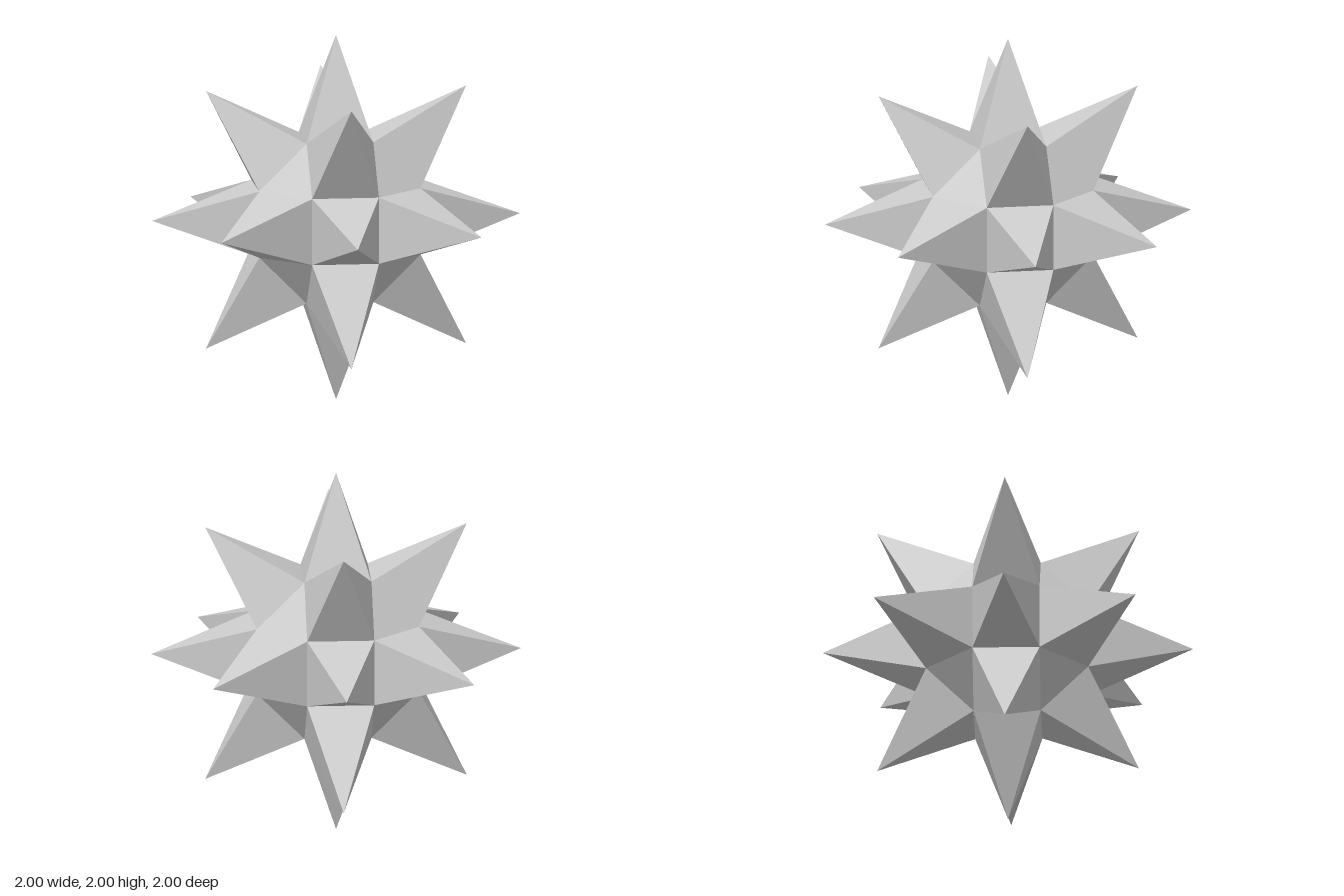
import * as THREE from 'three';

const HALF = 0.1815;                       // half edge of every core face
const FACE = HALF * (1 + Math.SQRT2);      // centre to square face
const TIP = 1;                             // centre to spike tip

export function createModel() {
  const star = new THREE.Group();
  star.name = 'star';
  star.position.y = 1;
  const material = new THREE.MeshStandardMaterial({ color: 0xcccccc, flatShading: true });

  // Square pyramid pointing along +z, base sitting on a core face
  const spikeGeometry = new THREE.ConeGeometry(HALF * Math.SQRT2, TIP - FACE, 4, 1, true)
    .rotateY(Math.PI / 4)
    .translate(0, (TIP + FACE) / 2, 0)
    .rotateX(Math.PI / 2);

  const signs = [-1, 0, 1];
  for (const x of signs) for (const y of signs) for (const z of signs) {
    const axes = Math.abs(x) + Math.abs(y) + Math.abs(z);
    if (axes === 1 || axes === 2) {
      // Spikes along the 6 axes and the 12 diagonals between them
      const spike = new THREE.Mesh(spikeGeometry, material);
      spike.name = axes === 1 ? 'axisSpike' : 'diagonalSpike';
      spike.lookAt(x, y, z);
      star.add(spike);
    } else if (axes === 3) {
      // Flat triangle filling each corner between three spikes
      const corners = [
        new THREE.Vector3(x * FACE, y * HALF, z * HALF),
        new THREE.Vector3(x * HALF, y * FACE, z * HALF),
        new THREE.Vector3(x * HALF, y * HALF, z * FACE),
      ];
      if (x * y * z < 0) corners.reverse();
      const geometry = new THREE.BufferGeometry().setFromPoints(corners);
      geometry.computeVertexNormals();
      const facet = new THREE.Mesh(geometry, material);
      facet.name = 'cornerFacet';
      star.add(facet);
    }
  }

  const model = new THREE.Group();
  model.name = 'spikedStar';
  model.add(star);
  return model;
}
